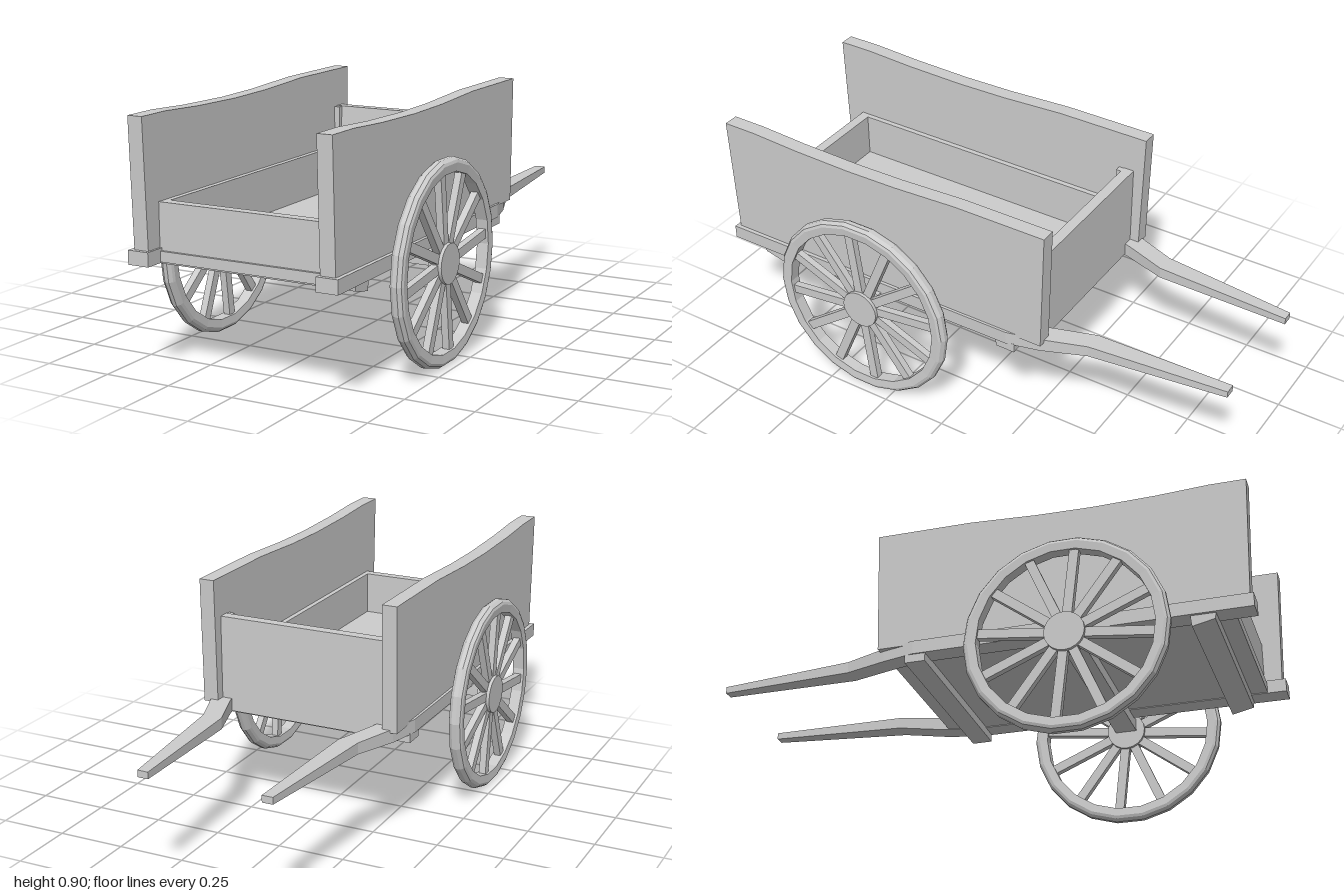
import * as THREE from 'three';

const material = new THREE.MeshStandardMaterial({ color: 0xcccccc, flatShading: true });
const smooth = new THREE.MeshStandardMaterial({ color: 0xcccccc });

function mesh(name, geometry, mat = material) {
  const m = new THREE.Mesh(geometry, mat);
  m.name = name;
  return m;
}

// Box given by its limits on each axis
function block(name, x0, x1, y0, y1, z0, z1) {
  const g = new THREE.BoxGeometry(x1 - x0, y1 - y0, z1 - z0);
  g.translate((x0 + x1) / 2, (y0 + y1) / 2, (z0 + z1) / 2);
  return mesh(name, g);
}

// Side profile in [z, y] pairs, extruded from x0 to x1
function slab(name, points, x0, x1) {
  const shape = new THREE.Shape(points.map(([z, y]) => new THREE.Vector2(z, y)));
  const g = new THREE.ExtrudeGeometry(shape, { depth: x1 - x0, bevelEnabled: false });
  g.rotateY(-Math.PI / 2);
  g.translate(x1, 0, 0);
  return mesh(name, g);
}

// Bottom rail that bends inward and tapers into the pulling shaft
function railShaft(side) {
  // z, inner x, outer x, bottom y, top y
  const stations = [
    [-1, 0.21, 0.25, 0.415, 0.44],
    [-0.49, 0.228, 0.302, 0.405, 0.447],
    [-0.33, 0.283, 0.36, 0.4, 0.45],
    [-0.21, 0.313, 0.39, 0.4, 0.45],
    [1, 0.317, 0.397, 0.4, 0.45],
  ];
  const n = stations.length - 1;
  const g = new THREE.BoxGeometry(1, 1, 1, 1, 1, n);
  const p = g.attributes.position;
  for (let i = 0; i < p.count; i++) {
    const [z, inner, outer, bottom, top] = stations[Math.round((p.getZ(i) + 0.5) * n)];
    p.setXYZ(i,
      side * (inner + outer) / 2 + p.getX(i) * (outer - inner),
      p.getY(i) > 0 ? top : bottom, z);
  }
  g.computeVertexNormals();
  return mesh(side > 0 ? 'leftRailShaft' : 'rightRailShaft', g);
}

function wheel(side) {
  const group = new THREE.Group();
  group.name = side > 0 ? 'leftWheel' : 'rightWheel';

  // Rim with a crowned tread
  const profile = [
    [0.315, -0.022], [0.345, -0.025], [0.355, -0.021], [0.364, -0.008],
    [0.364, 0.008], [0.355, 0.021], [0.345, 0.025], [0.315, 0.022], [0.315, -0.022],
  ].map(([r, x]) => new THREE.Vector2(r, x));
  const rim = new THREE.LatheGeometry(profile, 22);
  rim.rotateZ(-Math.PI / 2);
  group.add(mesh('rim', rim));

  // Hub
  const hub = new THREE.CylinderGeometry(0.072, 0.072, 0.05, 20);
  hub.rotateZ(Math.PI / 2);
  group.add(mesh('hub', hub, smooth));

  // Spokes
  for (let i = 0; i < 12; i++) {
    const spoke = new THREE.BoxGeometry(0.026, 0.27, 0.034);
    spoke.translate(0, 0.19, 0);
    spoke.rotateX(THREE.MathUtils.degToRad(7 + i * 30));
    group.add(mesh('spoke', spoke));
  }
  group.position.set(side * 0.45, 0.365, 0.365);
  return group;
}

export function createModel() {
  const cart = new THREE.Group();
  cart.name = 'handcart';

  // Floor and end boards
  cart.add(block('floor', -0.325, 0.325, 0.403, 0.44, -0.31, 0.93));
  cart.add(block('frontBoard', -0.325, 0.325, 0.44, 0.605, 0.882, 0.92));
  cart.add(slab('backBoard',
    [[-0.31, 0.44], [-0.245, 0.44], [-0.27, 0.757], [-0.31, 0.757]], -0.325, 0.325));

  // Side boards with a slightly sagging top edge
  const sideProfile = [
    [-0.345, 0.44], [0.985, 0.44], [1, 0.9], [0.87, 0.9], [0.68, 0.89],
    [0.45, 0.885], [0.25, 0.888], [0, 0.9], [-0.355, 0.9],
  ];
  for (const side of [1, -1]) {
    const span = (a, b) => (side > 0 ? [a, b] : [-b, -a]);
    cart.add(slab('sideBoard', sideProfile, ...span(0.325, 0.381)));
    // Inner lining and rear corner post
    cart.add(block('sideLining', ...span(0.305, 0.325), 0.44, 0.605, -0.25, 0.885));
    cart.add(block('cornerPost', ...span(0.303, 0.325), 0.44, 0.755, -0.275, -0.25));
    cart.add(railShaft(side));
    cart.add(wheel(side));
  }

  // Cross beams under the floor and the axle
  cart.add(slab('frontBeam',
    [[0.785, 0.36], [0.865, 0.378], [0.87, 0.405], [0.78, 0.405]], -0.385, 0.385));
  cart.add(block('backBeam', -0.385, 0.385, 0.37, 0.405, -0.24, -0.165));
  cart.add(block('axle', -0.44, 0.44, 0.36, 0.407, 0.325, 0.405));
  return cart;
}
